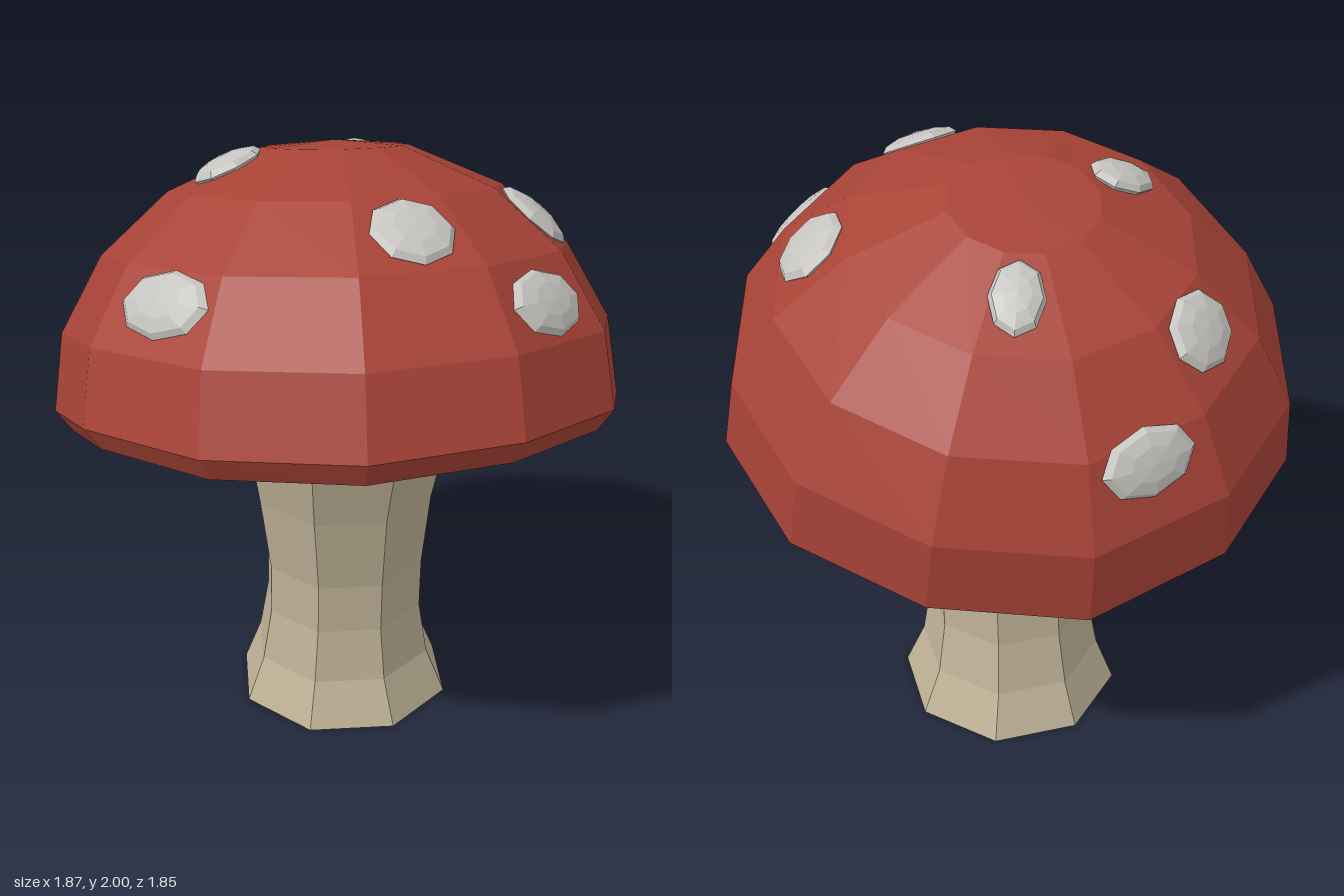
import * as THREE from 'three';

const capRed = new THREE.MeshStandardMaterial({ color: 0xa84337 });
capRed.name = 'capRed';
const paleGrey = new THREE.MeshStandardMaterial({ color: 0xc6c4c0 });
paleGrey.name = 'paleGrey';
const stemBeige = new THREE.MeshStandardMaterial({ color: 0xbfb297 });
stemBeige.name = 'stemBeige';

const SIDES = 12;

// Cap outline as [radius, height], from the lip to the crown
const OUTER = [[0.88, -0.07], [0.935, 0], [0.9, 0.253], [0.76, 0.5], [0.54, 0.695], [0.235, 0.826], [0, 0.845]];
// Hollow underside, from the crown down to the lip
const INNER = [[0, 0.45], [0.45, 0.34], [0.7, 0.14], [0.88, -0.07]];
// Uneven rim: lift of each of the twelve ribs, from the front round by the left
const WAVE = [0, 0.02, 0.03, -0.01, 0.01, 0.035, 0, 0.035, 0.005, -0.01, 0.03, 0.005];

// Stem sections as [y, half width, centre x, centre z]
const STEM = [
  [0, 0.35, 0.02, -0.088], [0.16, 0.29, 0.017, -0.085], [0.35, 0.26, 0.018, -0.075],
  [0.53, 0.26, 0.02, -0.065], [0.8, 0.288, 0.015, -0.043], [1.0, 0.32, 0.018, -0.018],
  [1.25, 0.325, 0.018, 0], [1.5, 0.3, 0.018, 0],
];

// Spots as [azimuth in degrees, distance from cap axis, radius across, radius along slope]
const SPOTS = [
  [15.8, 0.63, 0.135, 0.13], [-44, 0.79, 0.175, 0.11], [45.4, 0.805, 0.17, 0.11],
  [73.9, 0.635, 0.135, 0.13], [-71.7, 0.365, 0.09, 0.12], [162, 0.365, 0.085, 0.12],
  [-135.2, 0.61, 0.14, 0.12], [-165.7, 0.768, 0.158, 0.11],
];

// Separate the faces so each one is shaded flat
function faceted(geometry) {
  const flat = geometry.index ? geometry.toNonIndexed() : geometry;
  flat.computeVertexNormals();
  return flat;
}

function part(name, geometry, material) {
  const mesh = new THREE.Mesh(faceted(geometry), material);
  mesh.name = name;
  return mesh;
}

// Twelve-sided shell whose ribs follow the uneven rim, fading towards the crown
function capShell(profile) {
  const geometry = new THREE.LatheGeometry(profile.map(([r, h]) => new THREE.Vector2(r, h)), SIDES);
  const pos = geometry.attributes.position;
  for (let i = 0; i < pos.count; i++) {
    const rib = Math.floor(i / profile.length) % SIDES;
    const fade = THREE.MathUtils.clamp(1 - pos.getY(i) / 0.845, 0, 1);
    const onAxis = profile[i % profile.length][0] === 0;
    if (!onAxis) pos.setY(i, pos.getY(i) + WAVE[rib] * fade);
  }
  return geometry;
}

// Octagonal stem: each ring of a cylinder is moved to its section
function stemGeometry() {
  const rows = STEM.length - 1;
  const geometry = new THREE.CylinderGeometry(1, 1, 1, 8, rows, false, Math.PI / 8);
  const pos = geometry.attributes.position;
  for (let i = 0; i < pos.count; i++) {
    const [y, half, cx, cz] = STEM[Math.round((pos.getY(i) + 0.5) * rows)];
    const r = half / Math.cos(Math.PI / 8);
    pos.setXYZ(i, cx + pos.getX(i) * r, y, cz + pos.getZ(i) * r);
  }
  return geometry;
}

// Flattened bead lying on the faceted cap surface
function makeSpot([degrees, radius, across, along]) {
  const azimuth = THREE.MathUtils.degToRad(degrees);
  const step = (2 * Math.PI) / SIDES;
  const mid = (Math.floor(azimuth / step) + 0.5) * step;
  const r = radius * Math.cos(azimuth - mid) / Math.cos(step / 2);
  const k = OUTER.findIndex(([pr], i) => i > 1 && pr <= r);
  const [r0, h0] = OUTER[k - 1];
  const [r1, h1] = OUTER[k];
  const height = h0 + (h1 - h0) * (r - r0) / (r1 - r0) + 0.013;

  const spot = part('spot', new THREE.SphereGeometry(1, 8, 6).scale(across, 0.036, along), paleGrey);
  spot.rotation.order = 'YXZ';
  spot.rotation.set(Math.atan2(h1 - h0, r0 - r1), azimuth, 0);
  spot.position.set(radius * Math.sin(azimuth), height, radius * Math.cos(azimuth));
  return spot;
}

export function createModel() {
  const model = new THREE.Group();
  model.name = 'mushroom';
  model.add(part('stem', stemGeometry(), stemBeige));

  // Cap leans backwards with its spots
  const cap = new THREE.Group();
  cap.name = 'cap';
  cap.position.y = 1.145;
  cap.rotation.x = -0.22;
  cap.add(part('capTop', capShell(OUTER), capRed));
  cap.add(part('capUnderside', capShell(INNER), paleGrey));
  SPOTS.forEach((spot) => cap.add(makeSpot(spot)));
  model.add(cap);
  return model;
}
